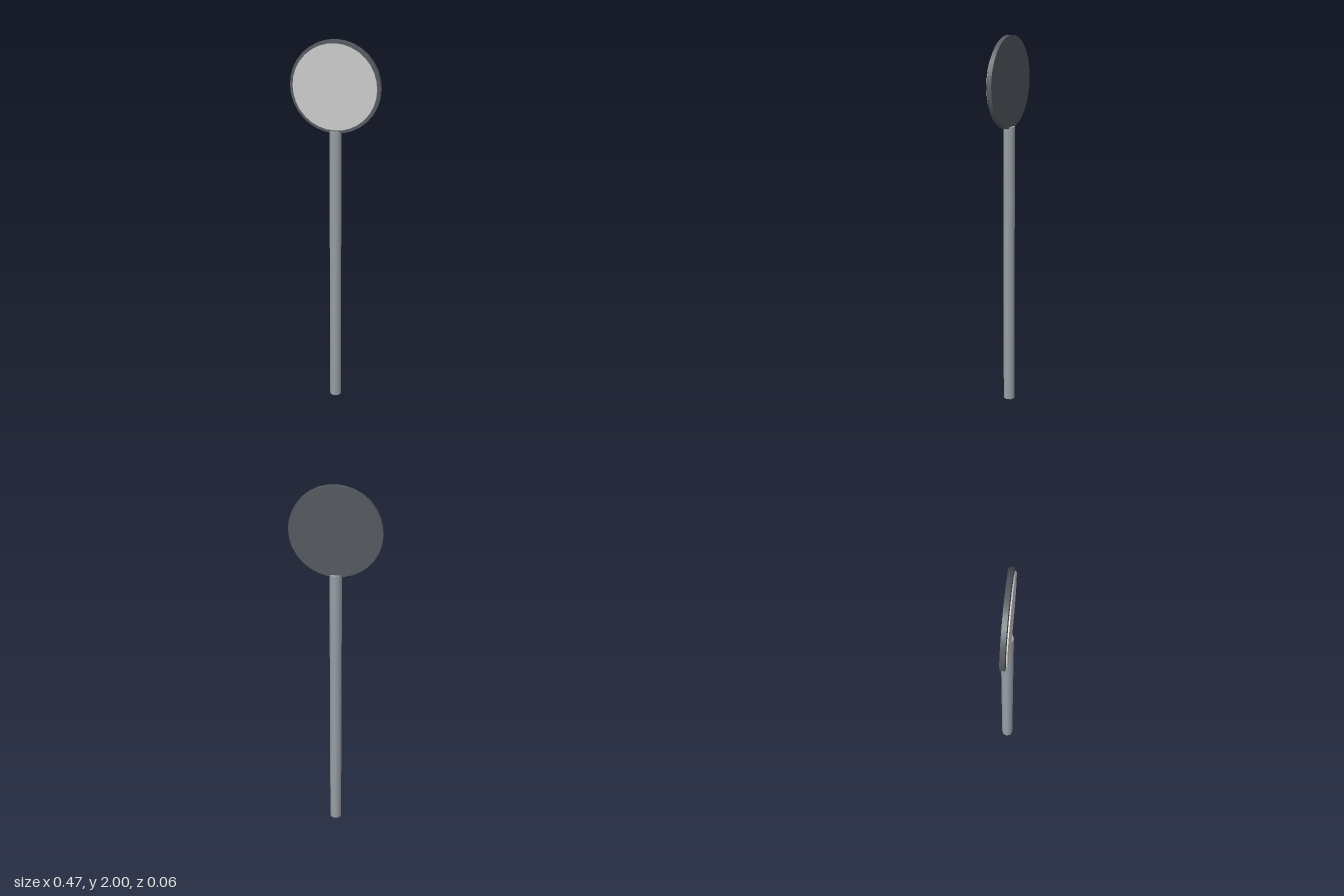
import * as THREE from 'three';

const POLE_HEIGHT = 1.538;
const DISC_Y = 1.764;

function part(name, geometry, color, y, z = 0) {
  const mesh = new THREE.Mesh(geometry, new THREE.MeshStandardMaterial({ color }));
  mesh.name = name;
  mesh.position.set(0, y, z);
  return mesh;
}

// Flat disc facing +z
function disc(radius, depth) {
  return new THREE.CylinderGeometry(radius, radius, depth, 32).rotateX(Math.PI / 2);
}

export function createModel() {
  const model = new THREE.Group();
  model.name = 'roundMirrorOnPole';

  // Eight-sided pole
  model.add(part('pole', new THREE.CylinderGeometry(0.032, 0.032, POLE_HEIGHT, 8), 0x9aa0a6, POLE_HEIGHT / 2));

  // Dark backing disc, and the pale face floating just in front of it
  model.add(part('backingDisc', disc(0.236, 0.024), 0x555a60, DISC_Y));
  model.add(part('mirrorFace', disc(0.219, 0.006), 0xcccccc, DISC_Y, 0.019));

  return model;
}
